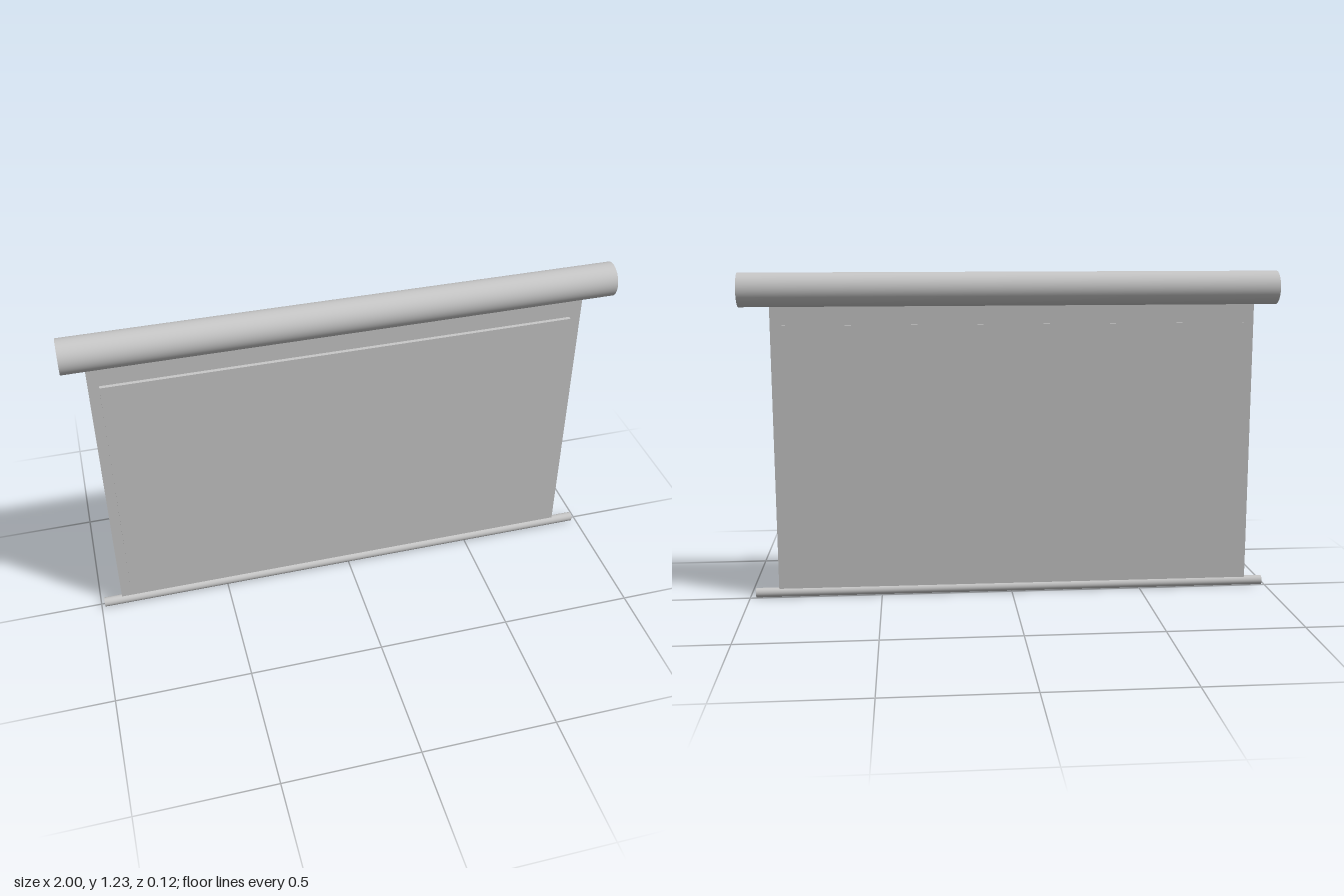
import * as THREE from 'three';

export function createModel() {
  const model = new THREE.Group();
  model.name = 'projectionScreen';
  const grey = new THREE.MeshStandardMaterial({ color: 0xc8c8c8 });
  grey.name = 'light grey';

  function add(name, geometry, x, y, z) {
    const mesh = new THREE.Mesh(geometry, grey);
    mesh.name = name;
    mesh.position.set(x, y, z);
    model.add(mesh);
  }

  // Horizontal round bar between two x positions
  function bar(name, radius, x0, x1, y, z) {
    const geometry = new THREE.CylinderGeometry(radius, radius, x1 - x0, 64).rotateZ(Math.PI / 2);
    add(name, geometry, (x0 + x1) / 2, y, z);
  }

  // Flat upright sheet given by its limits
  function sheet(name, x0, x1, y0, y1, z0, z1) {
    const geometry = new THREE.BoxGeometry(x1 - x0, y1 - y0, z1 - z0);
    add(name, geometry, (x0 + x1) / 2, (y0 + y1) / 2, (z0 + z1) / 2);
  }

  bar('rollerCase', 0.0625, -1, 1, 1.167, 0);
  bar('bottomBar', 0.018, -0.987, 0.977, 0.018, 0.01);

  // Fabric runs from inside the case down into the bottom bar
  sheet('fabric', -0.918, 0.89, 0.02, 1.15, 0.001, 0.015);

  // Raised picture area, just showing through at the back
  sheet('pictureArea', -0.88, 0.846, 0.069, 1.036, -0.001, 0.029);

  return model;
}
